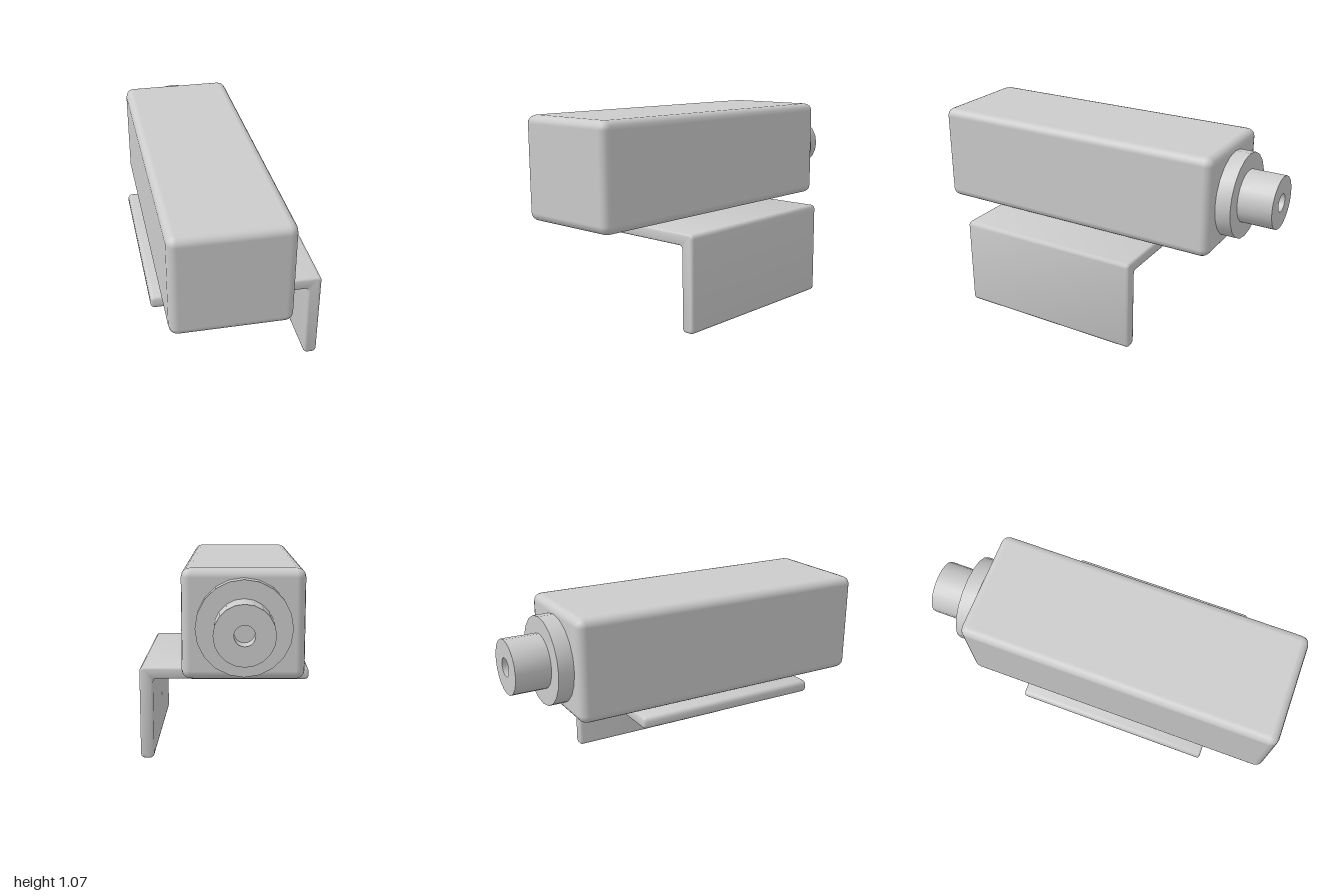
import * as THREE from 'three';
import { toCreasedNormals } from 'three/addons/utils/BufferGeometryUtils.js';
import { RoundedBoxGeometry } from 'three/addons/geometries/RoundedBoxGeometry.js';

const material = new THREE.MeshStandardMaterial({ color: 0xcccccc });

function addPart(group, name, geometry, x = 0, y = 0, z = 0) {
  const mesh = new THREE.Mesh(geometry, material);
  mesh.name = name;
  mesh.position.set(x, y, z);
  group.add(mesh);
}

// Closed shape with every corner rounded by its own radius
function roundedShape(corners) {
  const shape = new THREE.Shape();
  const n = corners.length;
  corners.forEach(([x, y, r], i) => {
    const p = new THREE.Vector2(x, y);
    const toward = ([qx, qy]) =>
      new THREE.Vector2(qx, qy).sub(p).setLength(r).add(p);
    const a = toward(corners[(i + n - 1) % n]);
    const b = toward(corners[(i + 1) % n]);
    if (i === 0) shape.moveTo(a.x, a.y);
    else shape.lineTo(a.x, a.y);
    shape.quadraticCurveTo(x, y, b.x, b.y);
  });
  shape.closePath();
  return shape;
}

export function createModel() {
  const model = new THREE.Group();
  model.name = 'mountedUnit';

  // Long housing with softened edges
  addPart(model, 'housing', new RoundedBoxGeometry(0.615, 0.555, 1.725, 2, 0.045),
    -0.1, 0.797, 0.137);

  // L-shaped bracket, extruded along z with a small bevel
  const bevel = 0.012;
  const outline = roundedShape([
    [-0.445, 0.458, 0.012], [0.394, 0.458, 0.03], [0.394, 0.012, 0.012],
    [0.443, 0.012, 0.012], [0.443, 0.499, 0.012], [-0.445, 0.499, 0.012],
  ]);
  const bracket = new THREE.ExtrudeGeometry(outline, {
    depth: 1.06 - 2 * bevel, curveSegments: 3,
    bevelEnabled: true, bevelSize: bevel, bevelThickness: bevel, bevelSegments: 2,
  });
  addPart(model, 'bracket', toCreasedNormals(bracket, 0.9), 0, 0, -0.395 + bevel);

  // Stepped connector at the back: flange, stem and blind bore
  const profile = [
    [0, 0], [0.238, 0], [0.238, 0.095], [0.147, 0.095],
    [0.147, 0.285], [0.05, 0.285], [0.05, 0.185], [0, 0.185],
  ].map(([r, h]) => new THREE.Vector2(r, h));
  const connector = new THREE.LatheGeometry(profile, 20).rotateX(-Math.PI / 2);
  addPart(model, 'connector', toCreasedNormals(connector, 0.6), -0.103, 0.793, -0.715);

  return model;
}
